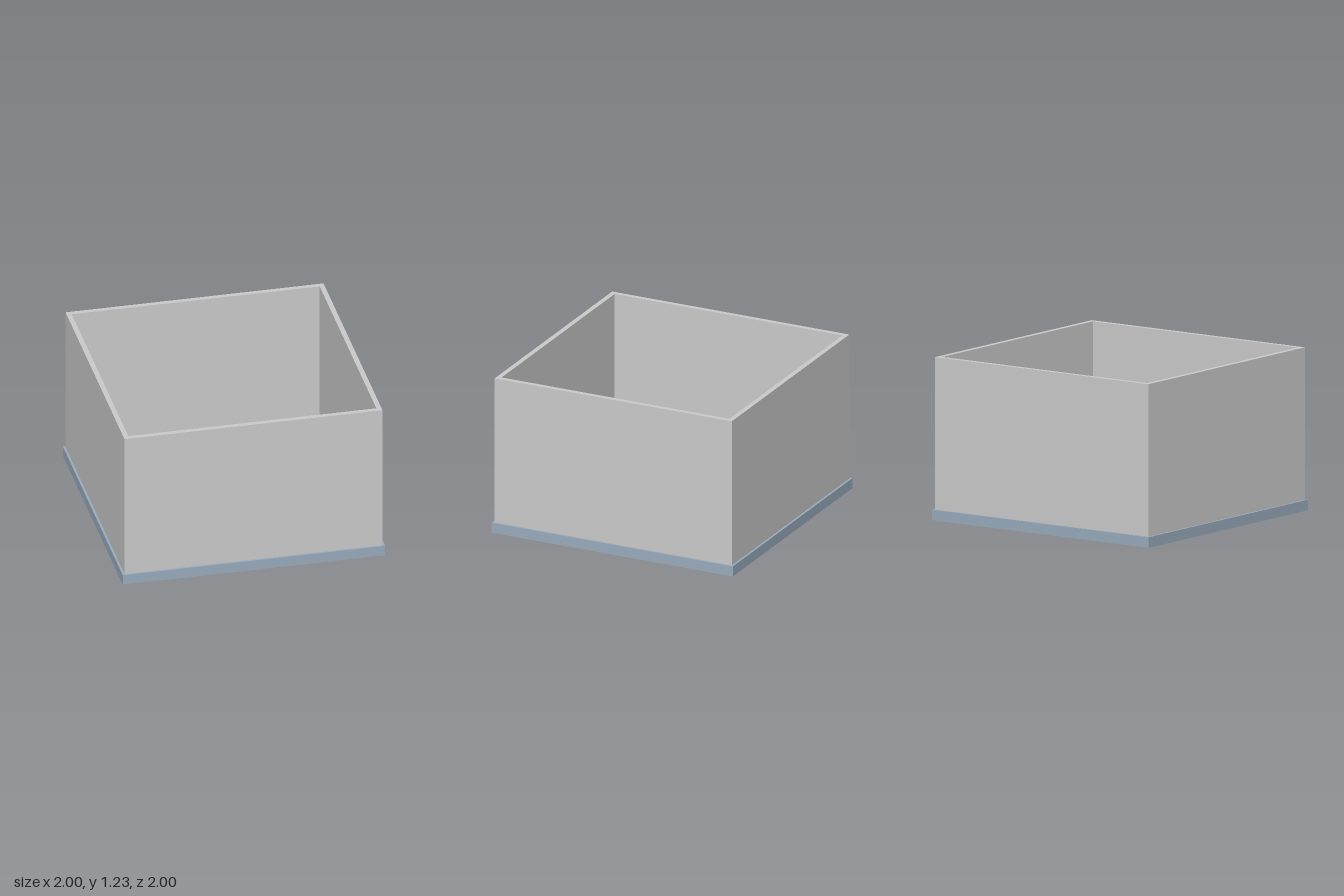
import * as THREE from 'three';

const BASE_HEIGHT = 0.08;
const TOP = 1.23;
const OUTER = 0.983; // half width of the walls, outside
const INNER = 0.945; // half width of the walls, inside

// Traces a centred square on a shape or path
function square(path, half) {
  path.moveTo(-half, -half);
  path.lineTo(half, -half);
  path.lineTo(half, half);
  path.lineTo(-half, half);
  path.closePath();
  return path;
}

export function createModel() {
  const model = new THREE.Group();
  model.name = 'openBox';

  // Slightly wider slab that also forms the floor
  const base = new THREE.Mesh(
    new THREE.BoxGeometry(2, BASE_HEIGHT, 2),
    new THREE.MeshStandardMaterial({ color: 0x9aacbd })
  );
  base.name = 'base';
  base.position.y = BASE_HEIGHT / 2;
  model.add(base);

  // Four thin walls as one square ring, open at the top
  const ring = square(new THREE.Shape(), OUTER);
  ring.holes.push(square(new THREE.Path(), INNER));
  const wallGeometry = new THREE.ExtrudeGeometry(ring, {
    depth: TOP - BASE_HEIGHT,
    bevelEnabled: false,
  });
  wallGeometry.rotateX(-Math.PI / 2);
  const walls = new THREE.Mesh(
    wallGeometry,
    new THREE.MeshStandardMaterial({ color: 0xcccccc })
  );
  walls.name = 'walls';
  walls.position.y = BASE_HEIGHT;
  model.add(walls);

  return model;
}
